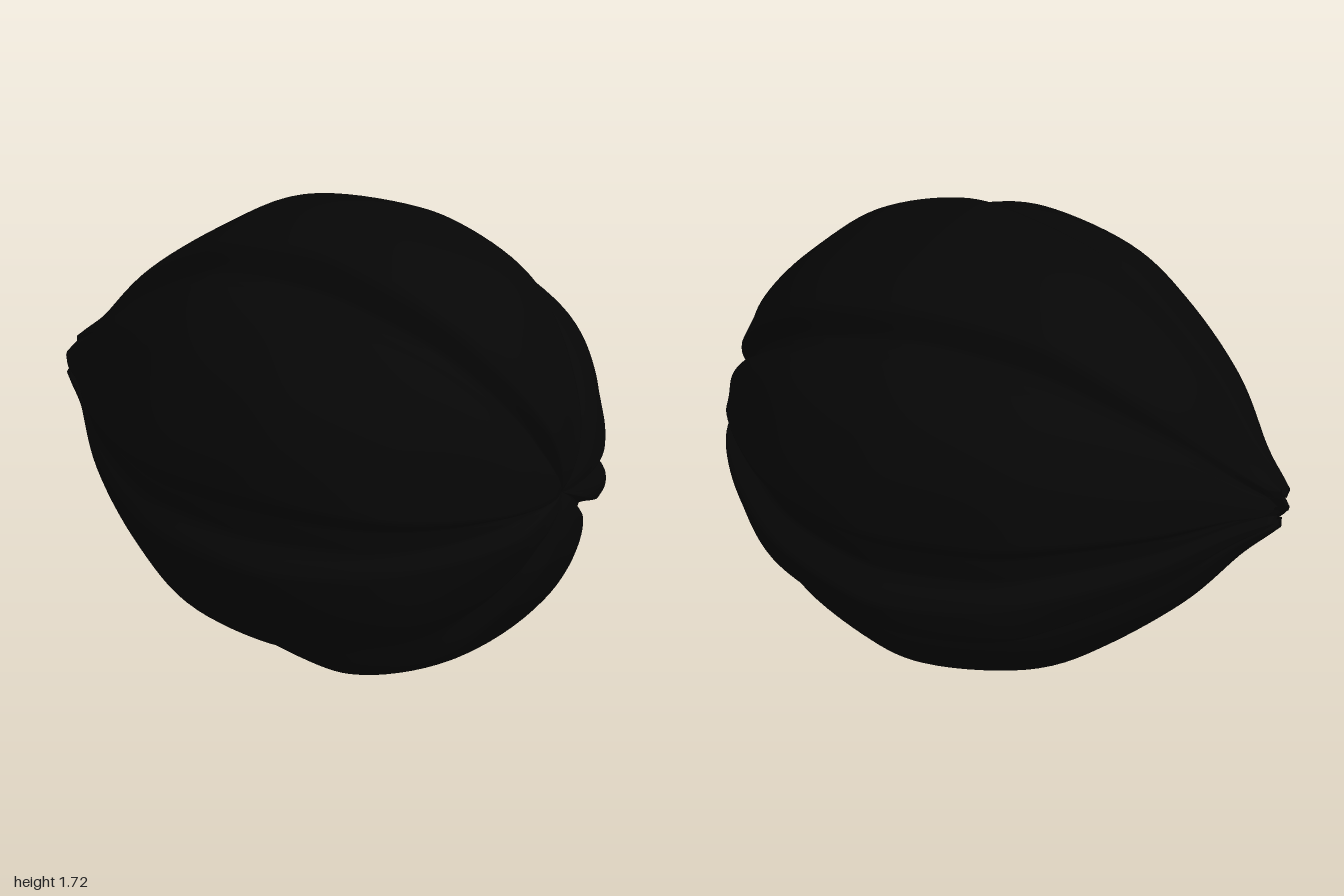
import * as THREE from 'three';

const DEG = Math.PI / 180;
// lobes around the long axis: start angle, half width of the groove floor there,
// then fullness at the start, middle and end of the lobe
const LOBES = [
  { from: -5, floor: 4, full: [0.99, 0.985, 0.85] },
  { from: 54, floor: 0.5, full: [0.975, 0.99, 0.975] },
  { from: 113, floor: 0.5, full: [0.86, 0.985, 0.98] },
  { from: 185, floor: 4, full: [0.94, 0.955, 0.86] },
  { from: 243, floor: 0.5, full: [0.97, 0.985, 0.86] },
  { from: 325, floor: 0.5, full: [0.97, 0.985, 0.96] },
];
const FLOOR = 0.865; // groove floor, as a fraction of the radius

// tilted long axis, pointing to the blossom end
const AXIS = new THREE.Vector3(0.437, 0, 0.9).normalize();
const SIDE = new THREE.Vector3(0.9, 0, -0.437).normalize();

// half outline: x = radius, y = distance along the axis
const PROFILE = new THREE.SplineCurve([
  [0, 0.955], [0.08, 0.98], [0.2, 0.98], [0.34, 0.935], [0.54, 0.8], [0.725, 0.6], [0.84, 0.32],
  [0.87, 0.08], [0.81, -0.27], [0.68, -0.5], [0.45, -0.77], [0.22, -0.96], [0.12, -1.06], [0.08, -1.1],
].map(([r, s]) => new THREE.Vector2(r, s)));

// slightly wandering groove line shared by neighbouring lobes, in degrees
function grooveAngle(i, v) {
  const k = i % LOBES.length;
  const turn = i >= LOBES.length ? 360 : 0;
  return LOBES[k].from + turn + 2 * Math.sin(Math.PI * v) * Math.sin(9 * v + k * 2.1);
}

function lobeGeometry(i) {
  const NU = 48, NV = 90, pos = [], index = [];
  const [fullStart, fullMid, fullEnd] = LOBES[i].full;
  const floor0 = LOBES[i].floor, floor1 = LOBES[(i + 1) % LOBES.length].floor;
  for (let b = 0; b <= NV; b++) {
    const v = b / NV, p = PROFILE.getPoint(v);
    const a0 = grooveAngle(i, v), a1 = grooveAngle(i + 1, v);
    const nearPole = THREE.MathUtils.smoothstep(v, 0, 0.2);
    const nearTip = THREE.MathUtils.smoothstep(v, 0.78, 1);
    // each beak narrows at the tip
    const spread = 1 - 0.7 * THREE.MathUtils.smoothstep(v, 0.92, 1);
    for (let a = 0; a <= NU; a++) {
      // columns crowd toward the grooves
      const f = Math.sin((a / NU - 0.5) * Math.PI);
      const local = (a0 + a1) / 2 + f * (a1 - a0) / 2;
      const ang = ((a0 + a1) / 2 + f * spread * (a1 - a0) / 2) * DEG;
      // rounded shoulders rising from the groove floors
      const rise = THREE.MathUtils.smoothstep(local - a0, floor0, floor0 + 7)
        * THREE.MathUtils.smoothstep(a1 - local, floor1, floor1 + 7);
      // fullness falls away from the middle, plus soft lumps
      const lumps = 0.008 * Math.sin(22 * v + 3 * f + i * 1.7) + 0.006 * Math.sin(13 * v - 5 * f + i);
      const side = f < 0 ? fullStart : fullEnd;
      const crown = fullMid + (side - fullMid) * Math.abs(f) ** 2.5 + lumps * (1 - nearTip);
      const m = 1 + nearPole * (THREE.MathUtils.lerp(FLOOR, crown, rise) - 1);
      const r = p.x * m * (1 - 0.4 * (1 - rise) * nearTip);
      const s = p.y > 0 ? p.y * (1 + m) / 2 : p.y;
      const q = -0.045 + r * Math.cos(ang);
      pos.push(AXIS.x * s + SIDE.x * q, 0.86 + r * Math.sin(ang), AXIS.z * s + SIDE.z * q);
      if (a < NU && b < NV) {
        const k = b * (NU + 1) + a, d = k + NU + 1;
        index.push(k, d, k + 1, k + 1, d, d + 1);
      }
    }
  }
  const g = new THREE.BufferGeometry();
  g.setAttribute('position', new THREE.Float32BufferAttribute(pos, 3));
  g.setIndex(index);
  g.computeVertexNormals();
  return g;
}

export function createModel() {
  const husk = new THREE.MeshStandardMaterial({ color: 0x060606, side: THREE.DoubleSide });
  husk.name = 'black husk';

  const model = new THREE.Group();
  model.name = 'lobedSeedPod';
  LOBES.forEach((_, i) => {
    const lobe = new THREE.Mesh(lobeGeometry(i), husk);
    lobe.name = 'lobe' + (i + 1);
    model.add(lobe);
  });
  return model;
}
